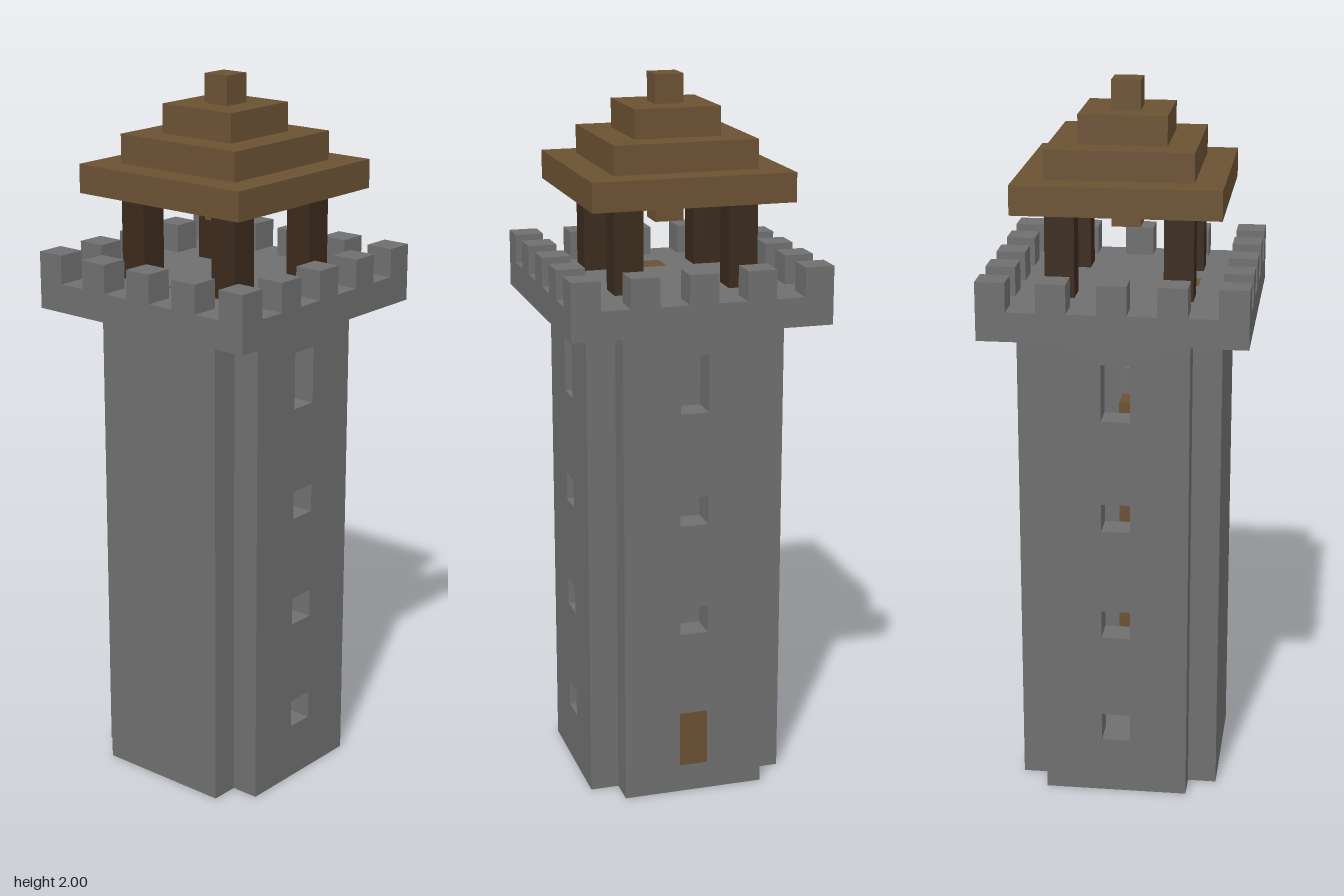
import * as THREE from 'three';

const U = 0.08; // one building block

export function createModel() {
  const stone = new THREE.MeshStandardMaterial({ color: 0x6f6f6f });
  stone.name = 'stone';
  const wood = new THREE.MeshStandardMaterial({ color: 0x6b5133 });
  wood.name = 'wood';
  const darkWood = new THREE.MeshStandardMaterial({ color: 0x3a2a1d });
  darkWood.name = 'darkWood';

  const tower = new THREE.Group();
  tower.name = 'watchtower';

  // Box measured in blocks: centre x and z, bottom y, then size
  function box(name, mat, x, y, z, w, h, d) {
    const mesh = new THREE.Mesh(new THREE.BoxGeometry(w * U, h * U, d * U), mat);
    mesh.position.set(x * U, (y + h / 2) * U, z * U);
    mesh.name = name;
    tower.add(mesh);
  }

  function rectangle(Type, x0, y0, x1, y1) {
    const p = new Type();
    p.moveTo(x0 * U, y0 * U);
    p.lineTo(x1 * U, y0 * U);
    p.lineTo(x1 * U, y1 * U);
    p.lineTo(x0 * U, y1 * U);
    p.closePath();
    return p;
  }

  // Slab of one block thickness with rectangular holes
  function slab(name, mat, outline, holes) {
    const shape = rectangle(THREE.Shape, ...outline);
    holes.forEach((h) => shape.holes.push(rectangle(THREE.Path, ...h)));
    const geo = new THREE.ExtrudeGeometry(shape, { depth: U, bevelEnabled: false });
    const mesh = new THREE.Mesh(geo, mat);
    mesh.name = name;
    tower.add(mesh);
    return mesh;
  }

  // Four walls; the corners stay notched
  const upper = [[6, 7], [10, 11], [14, 16]];
  const walls = [
    ['frontWall', 0, []],
    ['leftWall', Math.PI / 2, [[2, 3], ...upper]],
    ['backWall', Math.PI, [[1, 3], ...upper]],
    ['rightWall', -Math.PI / 2, [[2, 3], ...upper]],
  ];
  for (const [name, angle, openings] of walls) {
    const wall = slab(name, stone, [-2.5, 0, 2.5, 17],
      openings.map(([a, b]) => [-0.5, a, 0.5, b]));
    wall.geometry.translate(0, 0, 2.5 * U);
    wall.rotation.y = angle;
  }
  box('door', wood, 0, 1, -3, 1, 2, 1);
  box('floor', stone, 0, 0, 0, 5, 1, 5);

  // Steps climbing around the inside
  for (let y = 4; y <= 12; y += 4) {
    box('leftStep', wood, 2, y, 0, 1, 1, 1);
    box('frontStep', wood, 0, y + 1, 2, 1, 1, 1);
    if (y < 12) box('backStep', wood, 0, y + 3, -2, 1, 1, 1);
  }

  // Platform with a wooden hatch
  const platform = slab('platform', stone, [-4.5, -4.5, 4.5, 4.5], [[-0.5, -2.5, 0.5, -1.5]]);
  platform.rotation.x = -Math.PI / 2;
  platform.position.y = 17 * U;
  box('hatch', wood, 0, 17, 2, 1, 1, 1);

  // Battlements on every second block of the rim
  for (let x = -4; x <= 4; x += 2) {
    for (let z = -4; z <= 4; z += 2) {
      if (Math.max(Math.abs(x), Math.abs(z)) === 4) box('merlon', stone, x, 18, z, 1, 1, 1);
    }
  }

  // Posts carrying the roof
  for (const x of [-2, 2]) {
    for (const z of [-2, 2]) box('roofPost', darkWood, x, 18, z, 1, 4, 1);
  }

  // Stepped hollow roof
  [3.5, 2.5, 1.5].forEach((r, i) => {
    const tier = slab('roofTier', wood, [-r, -r, r, r], [[1 - r, 1 - r, r - 1, r - 1]]);
    tier.rotation.x = -Math.PI / 2;
    tier.position.y = (21 + i) * U;
  });
  box('kingPost', wood, 0, 20, 0, 1, 5, 1);

  return tower;
}
